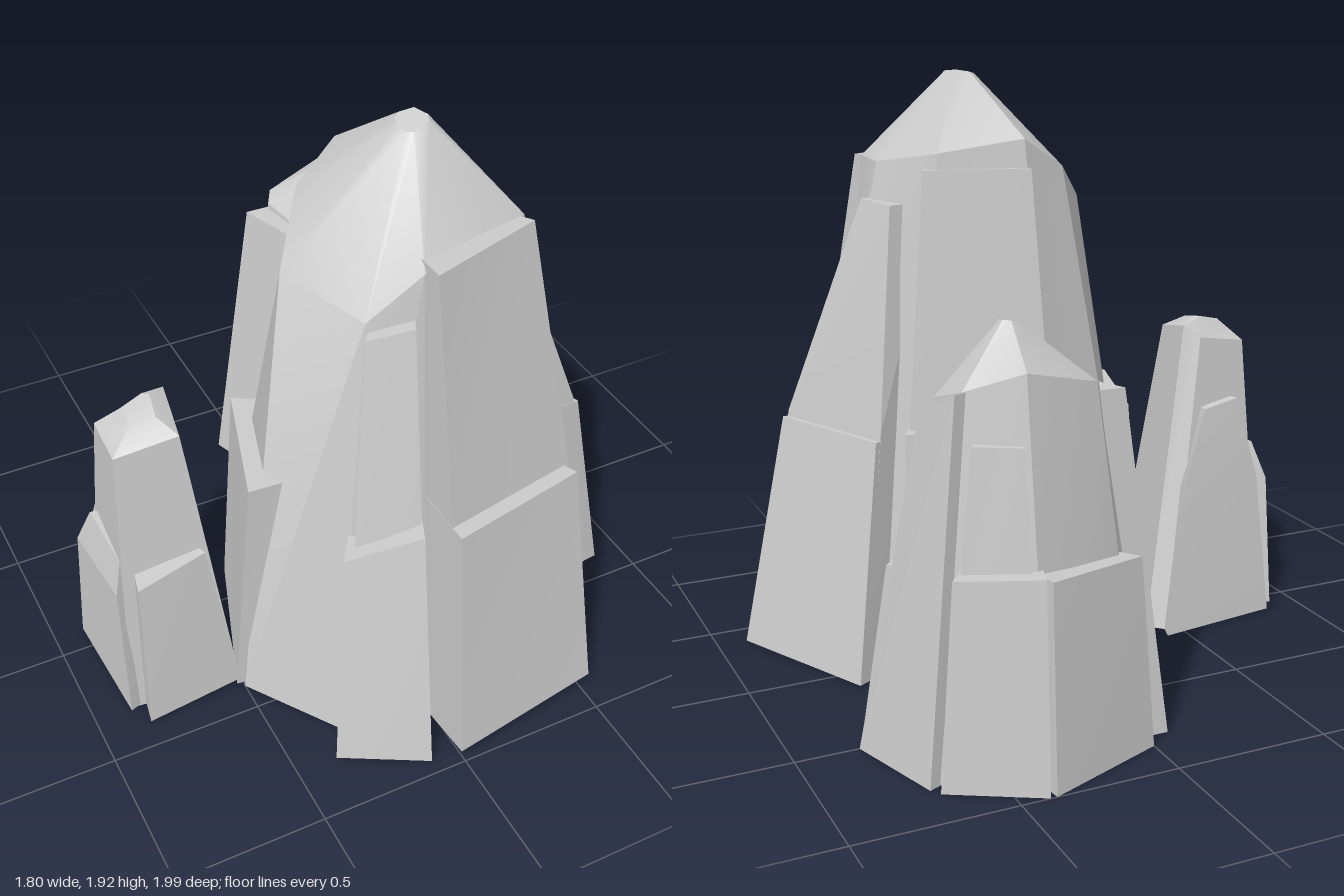
import * as THREE from 'three';
import { toCreasedNormals } from 'three/addons/utils/BufferGeometryUtils.js';

const material = new THREE.MeshStandardMaterial({ color: 0xcccccc });

// Closed solid through rings of [x, y, z] corners, in either turning direction.
function loft(name, rings, crease) {
  const n = rings[0].length;
  let area = 0;
  rings[0].forEach((p, i) => {
    const q = rings[0][(i + 1) % n];
    area += p[2] * q[0] - q[2] * p[0];
  });
  if (area < 0) rings = rings.map((r) => [...r].reverse());
  const pos = [];
  const tri = (a, b, c) => pos.push(...a, ...b, ...c);
  for (let k = 0; k + 1 < rings.length; k++) {
    for (let i = 0; i < n; i++) {
      const j = (i + 1) % n, lo = rings[k], hi = rings[k + 1];
      tri(lo[i], lo[j], hi[j]);
      tri(lo[i], hi[j], hi[i]);
    }
  }
  const middle = (r) => [0, 1, 2].map((c) => r.reduce((s, p) => s + p[c], 0) / n);
  const bottom = rings[0], top = rings[rings.length - 1];
  const mb = middle(bottom), mt = middle(top);
  for (let i = 0; i < n; i++) {
    const j = (i + 1) % n;
    tri(mb, bottom[j], bottom[i]);
    tri(mt, top[i], top[j]);
  }
  const geometry = new THREE.BufferGeometry();
  geometry.setAttribute('position', new THREE.Float32BufferAttribute(pos, 3));
  const mesh = new THREE.Mesh(toCreasedNormals(geometry, crease), material);
  mesh.name = name;
  return mesh;
}

// Tapered column: ground outline, shoulder outline, small tilted tip.
function core(name, base, shoulder, tip, radius) {
  const point = shoulder.map(([x, , z]) => {
    const a = Math.atan2(z - tip[2], x - tip[0]);
    const c = Math.cos(a), s = Math.sin(a);
    return [tip[0] + radius * c, tip[1] + 0.2 * radius * (c - s), tip[2] + radius * s];
  });
  return loft(name, [base.map(([x, z]) => [x, 0, z]), shoulder, point], 0.5);
}

// Slab against a column: each level is its outer edge. The sides run inwards,
// halfway between square to the face and straight at the axis.
function slab(name, [ax, az], depth, levels) {
  const rings = levels.map(([x1, y1, z1, x2, y2, z2], k) => {
    const normal = new THREE.Vector2(z2 - z1, x1 - x2).normalize();
    if (normal.x * (ax - x1) + normal.y * (az - z1) < 0) normal.negate();
    const inner = (x, y, z) => {
      const d = new THREE.Vector2(ax - x, az - z).normalize().add(normal).setLength(depth);
      return [x + d.x, k ? y : 0, z + d.y];
    };
    return [[x1, y1, z1], [x2, y2, z2], inner(x2, y2, z2), inner(x1, y1, z1)];
  });
  return loft(name, rings, 0.2);
}

function spire(name, ...parts) {
  const group = new THREE.Group();
  group.name = name;
  group.add(...parts);
  return group;
}

export function createModel() {
  const model = new THREE.Group();
  model.name = 'rockSpires';

  // Tall spire
  const A = [0.14, 0.26];
  model.add(spire('tallSpire',
    core('tallCore',
      [[-0.5, 0.4], [-0.3, 0.7], [0, 0.74], [0.51, 0.7], [0.76, 0.4], [0.53, -0.12], [-0.02, -0.28], [-0.33, -0.16]],
      [[-0.26, 1.49, 0.22], [-0.14, 1.46, 0.53], [0.02, 1.61, 0.58], [0.42, 1.63, 0.46],
        [0.43, 1.63, 0.28], [0.33, 1.68, 0], [0.06, 1.72, -0.06], [-0.1, 1.62, 0]],
      [0.15, 1.905, 0.25], 0.05),
    slab('frontLowerSlab', A, 0.22, [[-0.01, 0.04, 0.99, 0.54, 0.03, 0.89], [0.02, 0.84, 0.86, 0.5, 0.83, 0.75]]),
    slab('frontUpperSlab', A, 0.2, [[0.01, 0.04, 0.93, 0.52, 0.04, 0.83], [0.02, 0.83, 0.81, 0.5, 0.83, 0.7],
      [0.03, 1.64, 0.64, 0.43, 1.63, 0.5]]),
    slab('frontRightLowerSlab', A, 0.22, [[-0.37, 0.02, 0.82, -0.1, 0.01, 0.96], [-0.29, 0.74, 0.7, -0.07, 0.83, 0.8]]),
    slab('frontRightUpperSlab', A, 0.2, [[-0.32, 0.01, 0.78, -0.07, 0.01, 0.88], [-0.16, 1.43, 0.57, -0.03, 1.47, 0.63]]),
    slab('rightSlab', A, 0.18, [[-0.52, 0, 0.38, -0.34, 0, -0.14], [-0.45, 0.82, 0.37, -0.31, 0.82, -0.08]]),
    slab('backLowerSlab', A, 0.18, [[-0.03, 0, -0.31, 0.52, 0, -0.17], [0, 0.82, -0.21, 0.49, 0.82, -0.1]]),
    slab('backUpperSlab', A, 0.18, [[0.01, 0, -0.24, 0.5, 0, -0.12], [0.02, 0.82, -0.17, 0.46, 0.82, -0.06],
      [0.05, 1.63, -0.09, 0.38, 1.63, 0]]),
    slab('leftLowerSlab', A, 0.2, [[0.9, 0, 0.4, 0.66, 0, -0.1], [0.74, 0.78, 0.4, 0.56, 0.78, -0.02]]),
    slab('leftUpperSlab', A, 0.18, [[0.85, 0, 0.4, 0.63, 0, -0.08], [0.72, 0.8, 0.4, 0.54, 0.8, -0.01],
      [0.48, 1.51, 0.3, 0.45, 1.51, 0.11]])));

  // Middle spire at the back
  const B = [0.36, -0.61];
  model.add(spire('middleSpire',
    core('middleCore',
      [[-0.05, -0.76], [0.1, -0.28], [0.42, -0.24], [0.72, -0.5], [0.67, -0.8], [0.39, -0.95], [0.03, -0.83]],
      [[0.13, 1.1, -0.72], [0.2, 1.07, -0.37], [0.4, 1.07, -0.34], [0.56, 1.06, -0.53],
        [0.55, 1.12, -0.72], [0.4, 1.18, -0.82], [0.16, 1.12, -0.77]],
      [0.36, 1.28, -0.61], 0.03),
    slab('middleRightSlab', B, 0.15, [[-0.08, 0, -0.79, 0.1, 0, -0.28], [0.05, 1.08, -0.73, 0.18, 1.07, -0.36]]),
    slab('middleFrontSlab', B, 0.15, [[0.42, 0, -0.2, 0.78, 0, -0.46], [0.42, 0.57, -0.25, 0.7, 0.56, -0.49]]),
    slab('middleLeftSlab', B, 0.15, [[0.8, 0, -0.5, 0.7, 0, -0.82], [0.61, 1.04, -0.55, 0.58, 1.12, -0.74]]),
    slab('backLeftLowerSlab', B, 0.18, [[0.41, 0, -1, 0.68, 0, -0.85], [0.4, 0.63, -0.95, 0.63, 0.62, -0.83]]),
    slab('backLeftUpperSlab', B, 0.15, [[0.41, 0, -0.96, 0.66, 0, -0.82], [0.42, 0.98, -0.85, 0.55, 0.98, -0.78]]),
    slab('backRightSlab', B, 0.18, [[0, 0, -0.85, 0.39, 0, -1], [0.04, 0.6, -0.83, 0.38, 0.62, -0.95]])));

  // Short spire
  const C = [-0.68, 0.11];
  model.add(spire('shortSpire',
    core('shortCore',
      [[-0.87, 0.32], [-0.5, 0.36], [-0.4, -0.07], [-0.46, -0.13], [-0.85, -0.08]],
      [[-0.82, 0.97, 0.21], [-0.61, 1, 0.23], [-0.58, 1.04, 0.03], [-0.63, 1, 0], [-0.81, 0.97, 0.02]],
      [-0.69, 1.045, 0.11], 0.06),
    slab('shortFrontSlab', C, 0.12, [[-0.84, 0.01, 0.41, -0.5, 0.01, 0.37], [-0.82, 0.53, 0.34, -0.58, 0.57, 0.31]]),
    slab('shortRightSlab', C, 0.1, [[-0.9, 0.01, -0.08, -0.88, 0.01, 0.34], [-0.89, 0.47, -0.04, -0.87, 0.47, 0.27],
      [-0.85, 0.6, 0, -0.84, 0.58, 0.24]]),
    slab('shortBackSlab', C, 0.12, [[-0.43, 0, -0.17, -0.87, 0, -0.11], [-0.52, 0.5, -0.11, -0.83, 0.5, -0.07],
      [-0.62, 0.76, -0.06, -0.76, 0.78, -0.04]])));

  return model;
}
